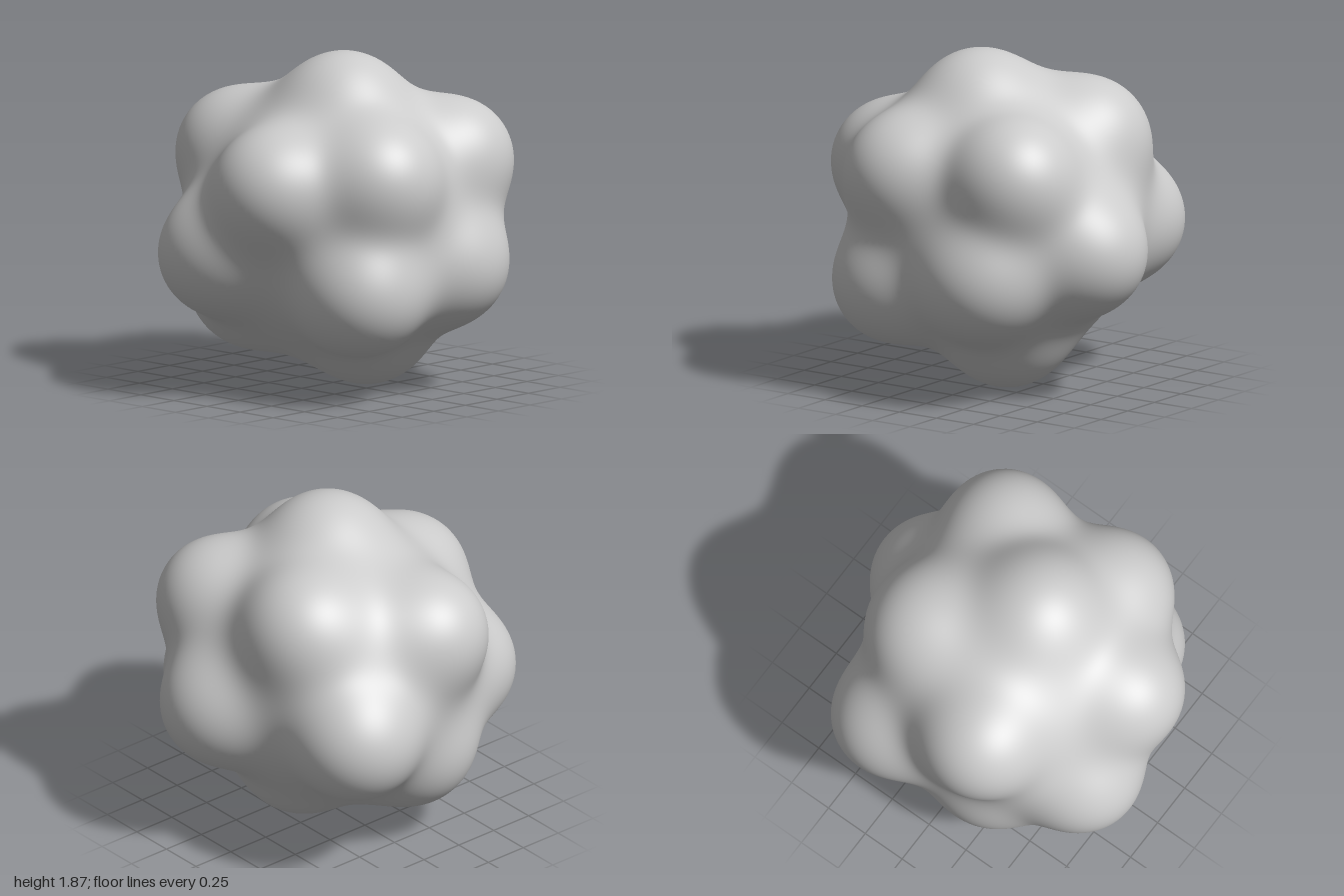
import * as THREE from 'three';
import { mergeVertices } from 'three/addons/utils/BufferGeometryUtils.js';

const CENTRE_Y = 0.93;
const BLEND = 0.1;

// Core and the lobes around it: x, y, z, radius
const LOBES = [
  [0, 0.93, 0, 0.735],         // core
  [-0.07, 1.54, 0.15, 0.32],   // top
  [-0.26, 1.23, 0.59, 0.32],   // upper front
  [0.42, 1.27, 0.51, 0.32],
  [0.4, 1.37, -0.22, 0.32],    // upper back
  [-0.2, 1.27, -0.54, 0.32],
  [-0.65, 1.18, 0.17, 0.32],   // sides
  [-0.66, 0.78, -0.24, 0.32],
  [0.67, 0.83, 0.18, 0.32],
  [0.36, 0.84, -0.6, 0.33],    // back
  [-0.36, 0.61, 0.55, 0.33],   // lower front
  [0.27, 0.71, 0.6, 0.33],
  [0.12, 0.34, 0.15, 0.32],    // bottom
  [-0.2, 0.52, -0.42, 0.32],
].map(([x, y, z, r]) => ({ c: new THREE.Vector3(x, y, z), r }));

// Smoothly blended distance to all lobes
function distance(p) {
  let sum = 0;
  for (const { c, r } of LOBES) sum += Math.exp(-(p.distanceTo(c) - r) / BLEND);
  return -BLEND * Math.log(sum);
}

// Sphere whose vertices are pushed out along rays to the blended surface
function lumpyGeometry() {
  let geo = new THREE.IcosahedronGeometry(1, 40);
  geo.deleteAttribute('uv');
  geo.deleteAttribute('normal');
  geo = mergeVertices(geo, 1e-4);
  const pos = geo.attributes.position;
  const dir = new THREE.Vector3();
  const p = new THREE.Vector3();
  for (let i = 0; i < pos.count; i++) {
    dir.fromBufferAttribute(pos, i).normalize();
    let lo = 0.5, hi = 1.3;
    for (let k = 0; k < 18; k++) {
      const mid = (lo + hi) / 2;
      p.copy(dir).multiplyScalar(mid);
      p.y += CENTRE_Y;
      if (distance(p) < 0) lo = mid; else hi = mid;
    }
    p.copy(dir).multiplyScalar(lo);
    pos.setXYZ(i, p.x, p.y + CENTRE_Y, p.z);
  }
  geo.computeVertexNormals();
  return geo;
}

export function createModel() {
  const group = new THREE.Group();
  group.name = 'lumpyBall';
  const body = new THREE.Mesh(
    lumpyGeometry(),
    new THREE.MeshStandardMaterial({ color: 0xcccccc })
  );
  body.name = 'lobedBody';
  // Rest on the ground
  body.geometry.computeBoundingBox();
  body.position.y = -body.geometry.boundingBox.min.y;
  group.add(body);
  return group;
}
